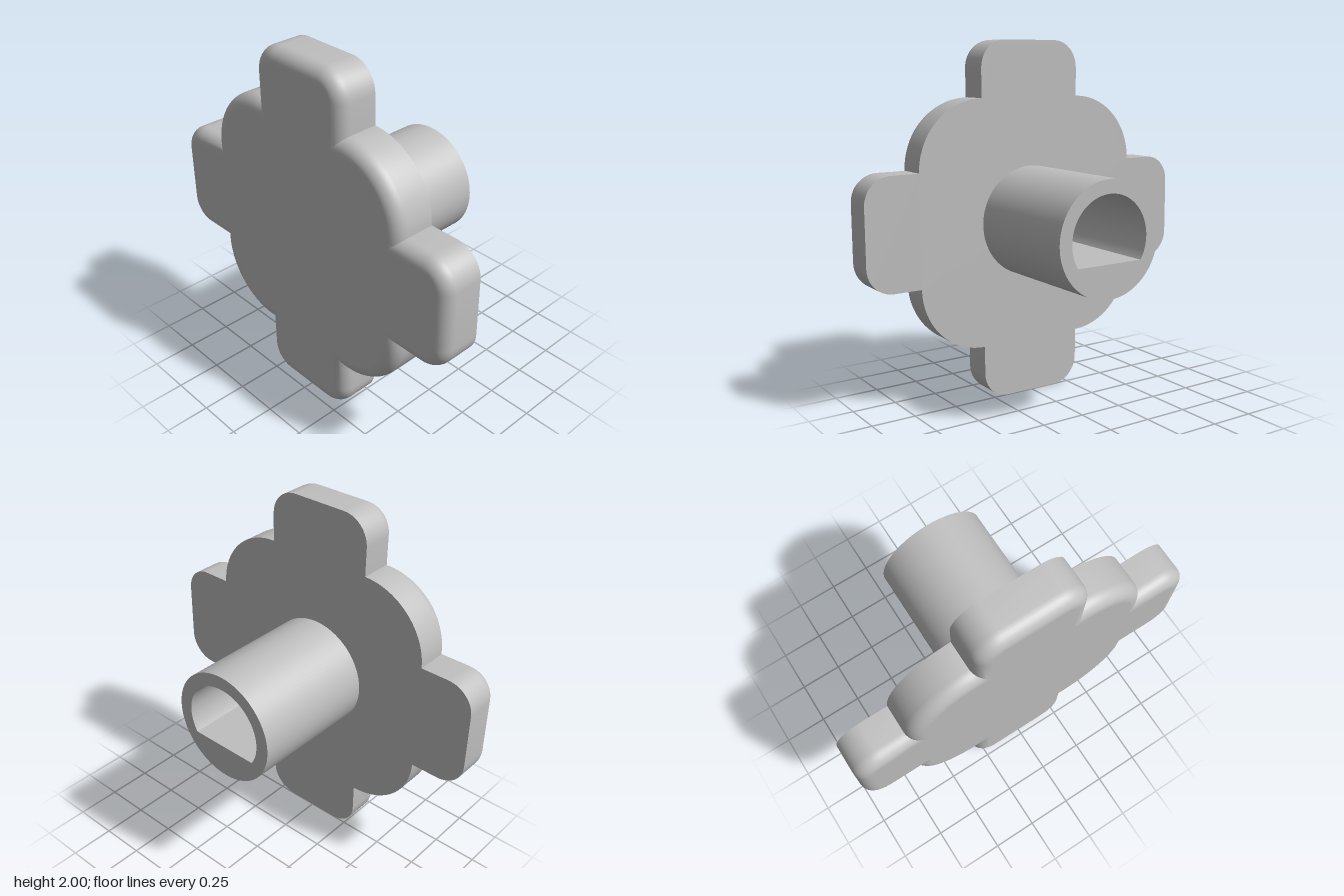
import * as THREE from 'three';
import { toCreasedNormals } from 'three/addons/utils/BufferGeometryUtils.js';

const BACK = 0.25, FRONT = 0.48, FILLET = 0.075;

// Outline of the four-armed plate, moved inward by d (counter-clockwise)
function outline(d) {
  const quarter = [];
  const arc = (cx, cy, r, a0, a1, n) => {
    for (let i = 0; i <= n; i++) {
      const a = a0 + (a1 - a0) * i / n;
      quarter.push([cx + r * Math.cos(a), cy + r * Math.sin(a)]);
    }
  };
  const q = Math.PI / 2, lobe = 0.38 - d, over = Math.asin(d / lobe);
  arc(0.85, 0.16, 0.15 - d, 0, q, 10);            // corner of the side arm
  arc(0.31, 0.31, lobe, -over, q + over, 24);     // round lobe
  arc(0.16, 0.85, 0.15 - d, 0, q, 10);            // corner of the upper arm
  const points = [];
  for (let k = 0; k < 4; k++) {
    for (const [x, y] of quarter) {
      points.push(new THREE.Vector2(x, y).rotateAround(new THREE.Vector2(), k * q));
    }
  }
  return points;
}

// Side wall and rounded front edge, lofted through inset outlines
function rimGeometry() {
  const rings = [[0, BACK]], steps = 8;
  for (let i = 0; i <= steps; i++) {
    const a = i / steps * Math.PI / 2;
    rings.push([FILLET * (1 - Math.cos(a)), FRONT - FILLET + FILLET * Math.sin(a)]);
  }
  const pos = [], index = [];
  let n = 0;
  for (const [d, z] of rings) {
    const pts = outline(d);
    n = pts.length;
    for (const p of pts) pos.push(p.x, p.y, z);
  }
  for (let r = 0; r < rings.length - 1; r++) {
    for (let i = 0; i < n; i++) {
      const j = (i + 1) % n, a = r * n + i, b = r * n + j;
      index.push(a, b, b + n, a, b + n, a + n);
    }
  }
  const g = new THREE.BufferGeometry();
  g.setAttribute('position', new THREE.Float32BufferAttribute(pos, 3));
  g.setIndex(index);
  return toCreasedNormals(g, 0.6);
}

// Hollow stem with a D-shaped bore, flat at the bottom
function stemGeometry() {
  const shape = new THREE.Shape().absarc(0, 0, 0.31, 0, Math.PI * 2, false);
  const a = Math.asin(0.125 / 0.235);
  const bore = new THREE.Path().absarc(0, 0, 0.235, -a, Math.PI + a, false);
  bore.closePath();
  shape.holes.push(bore);
  const g = new THREE.ExtrudeGeometry(shape, { depth: BACK + 0.48, bevelEnabled: false, curveSegments: 48 });
  g.translate(0, 0, -0.48);
  return toCreasedNormals(g, 0.6);
}

export function createModel() {
  const model = new THREE.Group();
  model.name = 'knob';
  const grey = new THREE.MeshStandardMaterial({ color: 0xbfbfbf });
  grey.name = 'grey';
  const add = (name, geometry, parent) => {
    const mesh = new THREE.Mesh(geometry, grey);
    mesh.name = name;
    parent.add(mesh);
    return mesh;
  };

  // Handle plate
  const plate = new THREE.Group();
  plate.name = 'handlePlate';
  add('plateRim', rimGeometry(), plate);
  add('plateFront', new THREE.ShapeGeometry(new THREE.Shape(outline(FILLET))), plate).position.z = FRONT;
  const back = new THREE.ShapeGeometry(new THREE.Shape(outline(0)));
  back.rotateY(Math.PI);
  add('plateBack', back, plate).position.z = BACK;
  model.add(plate);

  // Shaft socket
  add('stem', stemGeometry(), model);

  model.position.y = 1;
  return model;
}
